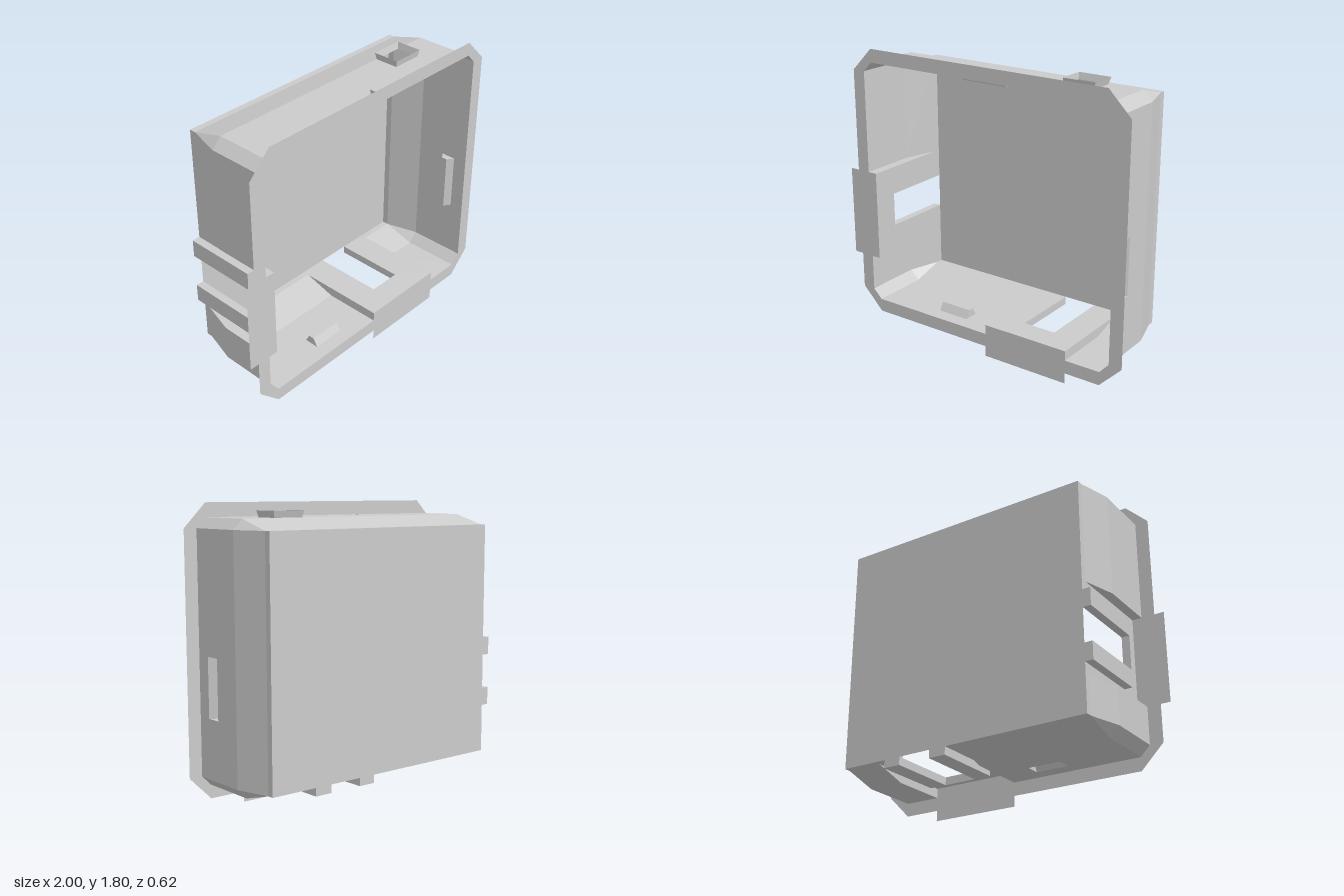
import * as THREE from 'three';
import { mergeGeometries } from 'three/addons/utils/BufferGeometryUtils.js';

// Back rectangle of the housing, depth stations and wall bulge
const X0 = -0.795, X1 = 0.855, Y0 = 0.21, Y1 = 1.655;
const FRONT = 0.31, BEND = -0.06, TAPER = -0.27, BACK = -0.31;
const BULGE = 0.06, RIM = 0.144;

const material = new THREE.MeshStandardMaterial({ color: 0xcccccc, side: THREE.DoubleSide });

// Each side maps (u along the edge, z, d outward from the back rectangle) to a point
const sides = {
  top: { a: X0, b: X1, at: (u, z, d) => [u, Y1 + d, z] },
  bottom: { a: X0, b: X1, at: (u, z, d) => [u, Y0 - d, z] },
  right: { a: Y0, b: Y1, at: (u, z, d) => [X0 - d, u, z] },
  left: { a: Y0, b: Y1, at: (u, z, d) => [X1 + d, u, z] },
};

// Flat convex polygon as a triangle fan
function poly(...pts) {
  const pos = [];
  for (let i = 1; i < pts.length - 1; i++) pos.push(...pts[0], ...pts[i], ...pts[i + 1]);
  const g = new THREE.BufferGeometry();
  g.setAttribute('position', new THREE.Float32BufferAttribute(pos, 3));
  return g;
}

// Flat outline with holes, its 2D points mapped into space
function sheet(outline, holes, map) {
  const toV = (pts) => pts.map(([x, y]) => new THREE.Vector2(x, y));
  const shape = new THREE.Shape(toV(outline));
  holes.forEach((h) => shape.holes.push(new THREE.Path(toV(h))));
  const g = new THREE.ShapeGeometry(shape).toNonIndexed();
  g.deleteAttribute('uv');
  g.deleteAttribute('normal');
  const p = g.attributes.position;
  for (let i = 0; i < p.count; i++) p.setXYZ(i, ...map(p.getX(i), p.getY(i)));
  return g;
}

const rect = (u0, u1, z0, z1) => [[u0, z0], [u1, z0], [u1, z1], [u0, z1]];

// Band of quads between two rectangles of a side, lying at offsets d0 and d1
function band(at, r0, d0, r1, d1) {
  return r0.map((p, i) => {
    const j = (i + 1) % 4;
    return poly(at(...p, d0), at(...r0[j], d0), at(...r1[j], d1), at(...r1[i], d1));
  });
}

function addMesh(group, name, parts) {
  const g = mergeGeometries(parts);
  g.computeVertexNormals();
  const mesh = new THREE.Mesh(g, material);
  mesh.name = name;
  group.add(mesh);
}

// Wall section: straight at the front, tapering in, then a short straight edge
function wall({ at }, u0, u1, holes = []) {
  const strip = (z0, d0, z1, d1) => poly(at(u0, z0, d0), at(u1, z0, d0), at(u1, z1, d1), at(u0, z1, d1));
  return [
    sheet(rect(u0, u1, BEND, FRONT), holes, (u, z) => at(u, z, BULGE)),
    strip(BEND, BULGE, TAPER, 0),
    strip(TAPER, 0, BACK, 0),
  ];
}

// Trapezoid catch pressed inward through a wall
function dent({ at }, u0, u1, z0, z1, inset, depth) {
  const outer = rect(u0, u1, z0, z1), inner = rect(u0, u1, z0 + inset, z1 - inset);
  const d = BULGE - depth;
  return [...band(at, outer, BULGE, inner, d), poly(...inner.map((p) => at(...p, d)))];
}

// Recess from u0 to u1 with a slot open at the back and a raised guide on each side of it
function recess({ at }, u0, u1) {
  const mid = (u0 + u1) / 2, slot = 0.107, guide = 0.218, zs = 0.15, d = 0.05;
  const floor = sheet([
    [u0, FRONT], [u0, BACK], [mid - slot, BACK], [mid - slot, zs],
    [mid + slot, zs], [mid + slot, BACK], [u1, BACK], [u1, FRONT],
  ], [], (u, z) => at(u, z, 0));
  const cheeks = [u0, u1].map((u) =>
    poly(at(u, FRONT, 0), at(u, FRONT, BULGE), at(u, BEND, BULGE), at(u, TAPER, 0)));
  const guides = [-1, 1].flatMap((s) => {
    const r = rect(mid + s * slot, mid + s * guide, BACK, zs);
    return [...band(at, r, 0, r, d), poly(...r.map((p) => at(...p, d)))];
  });
  const stop = poly(at(mid - slot, zs, 0), at(mid + slot, zs, 0), at(mid + slot, zs, d), at(mid - slot, zs, d));
  return [floor, ...cheeks, ...guides, stop];
}

export function createModel() {
  const model = new THREE.Group();
  model.name = 'housing';
  const { top, bottom, left, right } = sides;
  const sideSlot = [0.44, 1.01], baseSlot = [0.05, 0.625];

  // Top wall with catch and flared square port
  const topCatch = [-0.18, 0.13, 0.165, 0.215];
  const port = rect(0.445, 0.64, -0.058, 0.093);
  addMesh(model, 'topWall', wall(top, top.a, top.b, [rect(...topCatch), port]));
  addMesh(model, 'topCatch', dent(top, ...topCatch, 0.015, 0.04));
  addMesh(model, 'portCollar', band(top.at, port, BULGE, rect(0.44, 0.65, -0.07, 0.1), 0.1));

  // Left wall with catch
  const leftCatch = [0.57, 0.93, 0.125, 0.22];
  addMesh(model, 'leftWall', wall(left, left.a, left.b, [rect(...leftCatch)]));
  addMesh(model, 'leftCatch', dent(left, ...leftCatch, 0.03, 0.042));

  // Right wall, split by its recess
  addMesh(model, 'rightWall', [...wall(right, right.a, sideSlot[0]), ...wall(right, sideSlot[1], right.b)]);
  addMesh(model, 'rightRecess', recess(right, ...sideSlot));

  // Bottom wall with catch, split by its recess
  const bottomCatch = [-0.375, -0.165, 0.125, 0.22];
  addMesh(model, 'bottomWall', [
    ...wall(bottom, bottom.a, baseSlot[0], [rect(...bottomCatch)]), ...wall(bottom, baseSlot[1], bottom.b),
  ]);
  addMesh(model, 'bottomCatch', dent(bottom, ...bottomCatch, 0.03, 0.05));
  addMesh(model, 'bottomRecess', recess(bottom, ...baseSlot));

  // Corner chamfers closing to a point at the back
  const corners = [];
  for (const [x, sx] of [[X0, -1], [X1, 1]]) {
    for (const [y, sy] of [[Y0, -1], [Y1, 1]]) {
      const a = (z) => [x + sx * BULGE, y, z], b = (z) => [x, y + sy * BULGE, z];
      corners.push(poly(a(FRONT), b(FRONT), b(BEND), a(BEND)), poly(a(BEND), b(BEND), [x, y, TAPER]));
    }
  }
  addMesh(model, 'cornerChamfers', corners);

  // Back panel
  addMesh(model, 'backPanel', [poly([X0, Y0, BACK], [X0, Y1, BACK], [X1, Y1, BACK], [X1, Y0, BACK])]);

  // Front flange: octagonal rim with a tab over each recess
  const ring = (o, tabX, tabY) => [
    [X0, Y0 - o], [baseSlot[0], Y0 - o], [baseSlot[0], tabY], [baseSlot[1], tabY], [baseSlot[1], Y0 - o],
    [X1, Y0 - o], [X1 + o, Y0], [X1 + o, Y1], [X1, Y1 + o], [X0, Y1 + o], [X0 - o, Y1],
    [X0 - o, sideSlot[1]], [tabX, sideSlot[1]], [tabX, sideSlot[0]], [X0 - o, sideSlot[0]], [X0 - o, Y0],
  ];
  addMesh(model, 'frontFlange', [
    sheet(ring(RIM, -1, 0), [ring(BULGE, X0, Y0)], (x, y) => [x, y, FRONT]),
  ]);
  return model;
}
